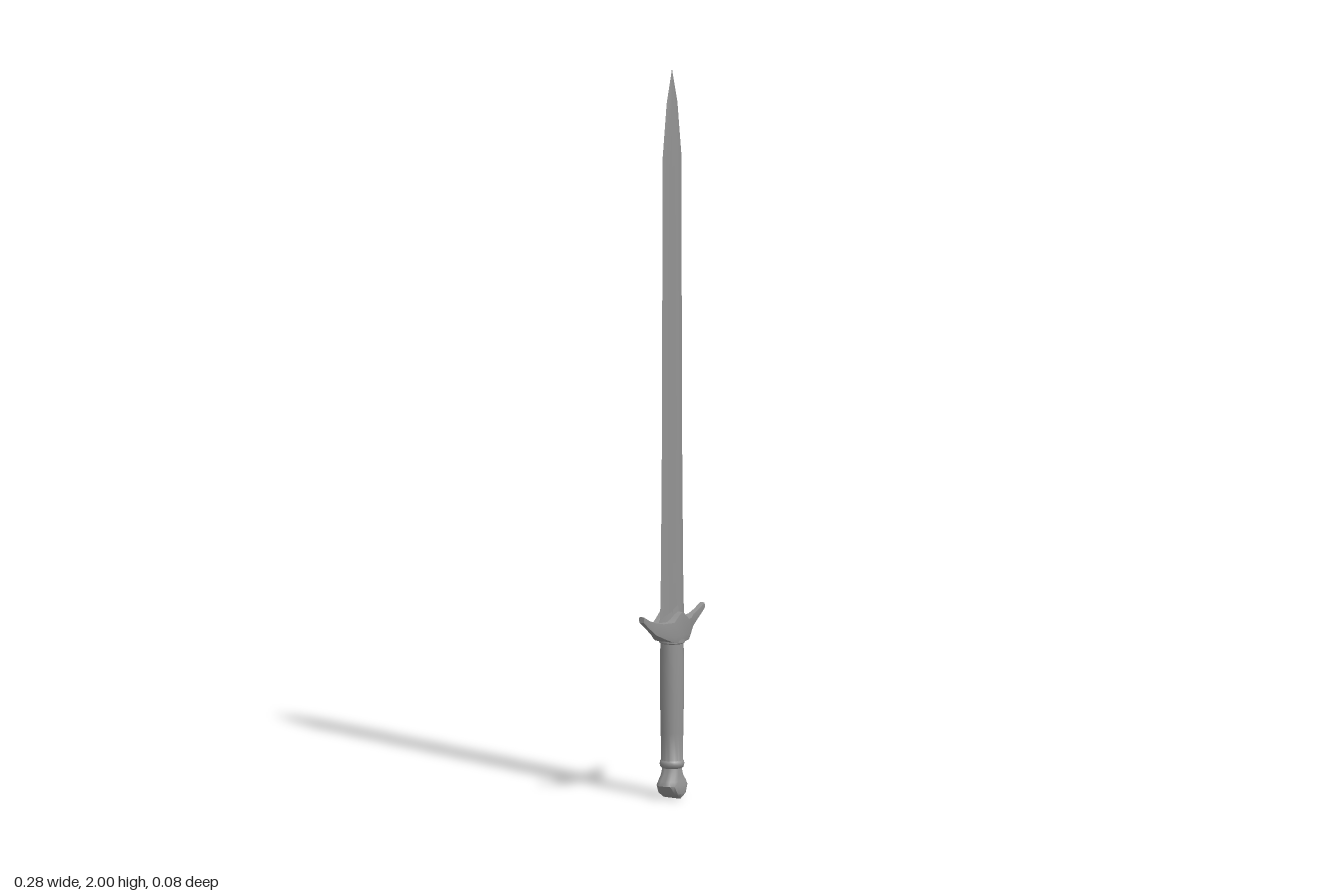
import * as THREE from 'three';
import { toCreasedNormals } from 'three/addons/utils/BufferGeometryUtils.js';

const material = new THREE.MeshStandardMaterial({ color: 0x949494 });

// Skins a row of equal-length rings (counter-clockwise about the row direction) and caps both ends.
function loft(rings, crease) {
  const n = rings[0].length, index = [];
  for (let i = 0; i < rings.length - 1; i++) {
    for (let j = 0; j < n; j++) {
      const k = (j + 1) % n, a = i * n, b = a + n;
      index.push(a + j, a + k, b + k, a + j, b + k, b + j);
    }
  }
  const points = rings.flat();
  for (const [r, flip] of [[0, true], [rings.length - 1, false]]) {
    const centre = [0, 1, 2].map(c => rings[r].reduce((s, p) => s + p[c], 0) / n);
    const m = points.push(centre) - 1;
    for (let j = 0; j < n; j++) {
      const p = r * n + j, q = r * n + (j + 1) % n;
      index.push(...(flip ? [m, q, p] : [m, p, q]));
    }
  }
  const geometry = new THREE.BufferGeometry();
  geometry.setAttribute('position', new THREE.Float32BufferAttribute(points.flat(), 3));
  geometry.setIndex(index);
  return toCreasedNormals(geometry, crease);
}

export function createModel() {
  const group = new THREE.Group();
  const add = (name, geometry) => {
    const mesh = new THREE.Mesh(geometry, material);
    mesh.name = name;
    group.add(mesh);
  };

  // Blade: sharp edges with a shallow fuller on each face; [y, half width, half thickness]
  const bladeSteps = [
    [0.46, 0.056, 0.015], [0.52, 0.055, 0.015], [0.62, 0.052, 0.013], [1.0, 0.047, 0.012],
    [1.5, 0.045, 0.01], [1.76, 0.044, 0.008], [1.91, 0.025, 0.005], [2.0, 0.0005, 0.0005],
  ];
  add('blade', loft(bladeSteps.map(([y, w, t]) => {
    const front = [[-w, 0], [-0.3 * w, t], [-0.15 * w, t * 0.65], [0.15 * w, t * 0.65], [0.3 * w, t]];
    return [...front, ...front.map(([x, z]) => [-x, -z])].map(([x, z]) => [x, y, z]);
  }), 1.1));

  // Collar: diamond sleeve at the root of the blade, peaked in the middle
  const collarRing = (edgeY, midY, w, d) => [
    [0, midY, d], [w * 0.4, (edgeY + midY) / 2, d * 0.7], [w, edgeY, 0], [w * 0.4, (edgeY + midY) / 2, -d * 0.7],
    [0, midY, -d], [-w * 0.4, (edgeY + midY) / 2, -d * 0.7], [-w, edgeY, 0], [-w * 0.4, (edgeY + midY) / 2, d * 0.7],
  ];
  add('bladeCollar', loft([collarRing(0.46, 0.46, 0.062, 0.023), collarRing(0.495, 0.53, 0.061, 0.018)], 0.6));

  // Crossguard: swept-up arms; [x, bottom y, top y, half depth]
  const arm = [
    [0, 0.43, 0.513, 0.038], [0.012, 0.43, 0.506, 0.036], [0.035, 0.433, 0.488, 0.035],
    [0.065, 0.447, 0.487, 0.02], [0.088, 0.46, 0.492, 0.009], [0.115, 0.48, 0.502, 0.008],
    [0.142, 0.5, 0.516, 0.008],
  ];
  const guardSteps = [...arm.slice(1).reverse().map(([x, ...rest]) => [-x, ...rest]), ...arm];
  add('crossguard', loft(guardSteps.map(([x, b, t, d]) => {
    const m = b + (t - b) * 0.25;
    return [[x, t, d * 0.95], [x, m, d], [x, b, d * 0.9], [x, b, -d * 0.9], [x, m, -d], [x, t, -d * 0.95]];
  }), 0.7));

  // Grip with a ring at each end
  const gripProfile = [
    [0.0, 0.08], [0.026, 0.082], [0.032, 0.086], [0.034, 0.094], [0.033, 0.101], [0.03, 0.104],
    [0.031, 0.18], [0.033, 0.28], [0.033, 0.36], [0.032, 0.425], [0.036, 0.428], [0.036, 0.438], [0, 0.44],
  ].map(([r, y]) => new THREE.Vector2(r, y));
  add('grip', toCreasedNormals(new THREE.LatheGeometry(gripProfile, 16), 0.8));

  // Pommel: round neck flaring to a wedge, keel running front to back; [y, half width, half depth, roundness]
  const pommelSteps = [
    [0, 0.004, 0.028, 0.6], [0.014, 0.026, 0.036, 0.6], [0.036, 0.045, 0.034, 0.7],
    [0.048, 0.042, 0.031, 0.8], [0.064, 0.031, 0.028, 0.9], [0.088, 0.024, 0.026, 1],
  ];
  const bulge = (v, power) => Math.sign(v) * Math.abs(v) ** power;
  add('pommel', loft(pommelSteps.map(([y, w, d, power]) => Array.from({ length: 16 }, (_, i) => {
    const a = (i + 0.5) * Math.PI / 8;
    return [w * bulge(Math.sin(a), power), y, d * bulge(Math.cos(a), power)];
  })), 0.75));

  return group;
}
